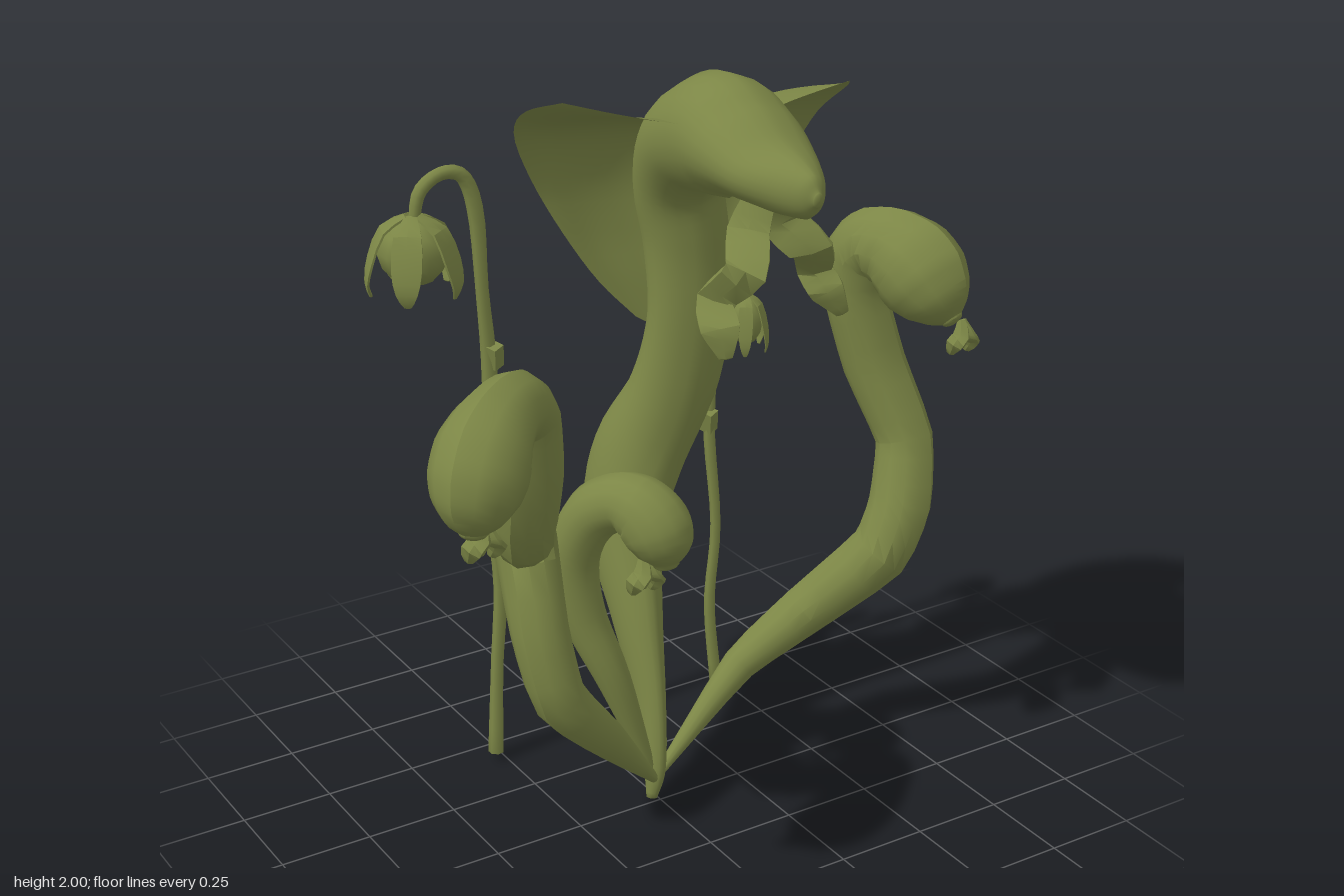
import * as THREE from 'three';
import { toCreasedNormals } from 'three/addons/utils/BufferGeometryUtils.js';

const leafGreen = new THREE.MeshStandardMaterial({ color: 0x7c8646, side: THREE.DoubleSide });
leafGreen.name = 'leafGreen';

function mesh(geometry, name) {
  const m = new THREE.Mesh(geometry, leafGreen);
  m.name = name;
  return m;
}

// Joins a grid of points into a surface; wrap closes each row into a ring.
function skin(rows, wrap, crease) {
  const n = rows[0].length, index = [];
  for (let i = 0; i < rows.length - 1; i++) {
    for (let j = 0; j < (wrap ? n : n - 1); j++) {
      const a = i * n + j, b = i * n + (j + 1) % n;
      index.push(a, b, a + n, b, b + n, a + n);
    }
  }
  const g = new THREE.BufferGeometry();
  g.setAttribute('position', new THREE.Float32BufferAttribute(rows.flat().flatMap(p => p.toArray()), 3));
  g.setIndex(index);
  g.computeVertexNormals();
  return crease ? toCreasedNormals(g, crease) : g;
}

// Sweeps an oval along points [x, y, z, halfWidth, halfDepth], with a rounded end and optional keel.
// A low tension gives angular bends.
function sweep(pts, { side = [1, 0, 0], steps = 40, n = 12, crease = 0, keel = 0, tension = 0.5 } = {}) {
  const curve = list => new THREE.CatmullRomCurve3(list, false, 'catmullrom', tension);
  const path = curve(pts.map(p => new THREE.Vector3(p[0], p[1], p[2])));
  const size = curve(pts.map(p => new THREE.Vector3(p[3], p[4] ?? p[3], 0)));
  const hint = new THREE.Vector3(...side), rows = [];
  const ring = (c, t, w, d) => {
    const up = t.clone().cross(hint).normalize(), across = up.clone().cross(t);
    const row = [];
    for (let j = 0; j < n; j++) {
      const a = j / n * Math.PI * 2 + Math.PI / 2;
      const k = 1 + (j === 0 || j === n / 2 ? keel : 0);
      row.push(c.clone().addScaledVector(across, w * Math.cos(a)).addScaledVector(up, d * k * Math.sin(a)));
    }
    rows.push(row);
  };
  const at = u => [path.getPoint(u), path.getTangent(u), size.getPoint(u)];
  const first = at(0);
  ring(first[0], first[1], 0.0005, 0.0005);
  for (let i = 0; i <= steps; i++) {
    const [c, t, s] = at(i / steps);
    ring(c, t, Math.max(s.x, 0.001), Math.max(s.y, 0.001));
  }
  const [c, t, s] = at(1);
  for (let i = 1; i <= 5; i++) {
    const a = i / 5 * Math.PI / 2, f = Math.max(Math.cos(a), 0.001);
    ring(c.clone().addScaledVector(t, 0.5 * Math.min(s.x, s.y) * Math.sin(a)), t, s.x * f, s.y * f);
  }
  return skin(rows, true, crease);
}

// Twisted two-lobed tongue hanging below a small hood
function smallTongue(x, y, z, s) {
  const g = new THREE.Group();
  g.name = 'smallTongue';
  for (const k of [-1, 1]) {
    g.add(mesh(sweep([[0, 0.07, 0, 0.015, 0.012], [0.012 * k, 0.02, 0.015, 0.032, 0.014],
      [0.035 * k, -0.005, 0.01, 0.032, 0.012], [0.032 * k, -0.04, -0.01, 0.014, 0.01]],
    { steps: 6, n: 6, side: [0.6, 0, 0.8], crease: 0.5 }), 'tongueLobe'));
  }
  g.position.set(x, y, z);
  g.scale.setScalar(s);
  return g;
}

// Nodding flower with a rounded cup and five broad, spreading sepals
function flower(x, y, z, sx, sy) {
  const g = new THREE.Group();
  g.name = 'flower';
  const cup = [[0.001, -0.065], [0.055, -0.06], [0.09, -0.025], [0.105, 0.02], [0.09, 0.068], [0.047, 0.1], [0.001, 0.112]];
  g.add(mesh(new THREE.LatheGeometry(cup.map(p => new THREE.Vector2(...p)), 10), 'flowerCup'));
  for (let i = 0; i < 5; i++) {
    const p = mesh(sweep([[0, 0.11, 0.02, 0.02, 0.006], [0, 0.078, 0.085, 0.045, 0.006], [0, 0.0, 0.122, 0.05, 0.006],
      [0, -0.06, 0.135, 0.035, 0.006], [0, -0.095, 0.125, 0.012, 0.005]], { steps: 8, n: 6, crease: 0.5 }), 'sepal');
    p.rotation.y = (i + 0.5) / 5 * Math.PI * 2;
    g.add(p);
  }
  g.position.set(x, y, z);
  g.scale.set(sx, sy, sx);
  return g;
}

// Slender flower stalk with a small bract
function stalk(pts, bract) {
  const g = new THREE.Group();
  g.name = 'flowerStalk';
  g.add(mesh(sweep(pts, { side: [0, 0, 1], steps: 36, n: 7 }), 'stalk'));
  const b = mesh(new THREE.BoxGeometry(0.035, 0.065, 0.045), 'bract');
  b.position.set(...bract);
  b.rotation.set(0.2, 0.4, 0.15);
  g.add(b);
  return g;
}

// Broad hood: a brim beside the head that curves down behind the stem
function hood() {
  const rows = [
    [[-0.23, 1.968, -0.07], [-0.1, 1.93, -0.03], [0.03, 1.9, 0.02], [0.18, 1.87, 0.04], [0.34, 1.9, 0.02], [0.48, 1.905, -0.02], [0.61, 1.9, -0.07]],
    [[-0.288, 1.94, -0.14], [-0.14, 1.9, -0.15], [0.03, 1.875, -0.14], [0.18, 1.85, -0.14], [0.35, 1.87, -0.15], [0.51, 1.875, -0.16], [0.66, 1.86, -0.15]],
    [[-0.27, 1.86, -0.24], [-0.12, 1.83, -0.275], [0.04, 1.815, -0.27], [0.19, 1.8, -0.25], [0.36, 1.79, -0.28], [0.51, 1.79, -0.295], [0.645, 1.77, -0.255]],
    [[-0.19, 1.71, -0.305], [-0.06, 1.69, -0.325], [0.07, 1.68, -0.32], [0.2, 1.67, -0.285], [0.34, 1.66, -0.325], [0.48, 1.655, -0.345], [0.615, 1.65, -0.315]],
    [[-0.11, 1.56, -0.29], [-0.01, 1.54, -0.315], [0.1, 1.53, -0.31], [0.21, 1.52, -0.285], [0.33, 1.52, -0.315], [0.45, 1.52, -0.33], [0.565, 1.53, -0.295]],
    [[-0.02, 1.42, -0.265], [0.06, 1.4, -0.28], [0.14, 1.4, -0.28], [0.22, 1.4, -0.265], [0.32, 1.4, -0.28], [0.41, 1.4, -0.285], [0.495, 1.41, -0.265]],
    [[0.08, 1.31, -0.25], [0.13, 1.28, -0.25], [0.18, 1.27, -0.25], [0.23, 1.26, -0.24], [0.28, 1.27, -0.25], [0.33, 1.28, -0.25], [0.38, 1.31, -0.25]],
  ];
  const curve = pts => new THREE.CatmullRomCurve3(pts);
  const across = rows.map(r => curve(r.map(p => new THREE.Vector3(...p))).getPoints(24));
  const columns = across[0].map((_, j) => curve(across.map(r => r[j])).getPoints(24));
  return mesh(skin(columns, false), 'hood');
}

export function createModel() {
  const model = new THREE.Group();
  model.name = 'pitcherPlant';

  // Main pitcher: stem bending forward into a rounded head
  model.add(mesh(sweep([
    [-0.015, 0.01, -0.02, 0.015], [0.0, 0.1, -0.03, 0.028, 0.038], [0.015, 0.28, -0.08, 0.038, 0.06],
    [0.03, 0.5, -0.17, 0.065, 0.09], [0.06, 0.72, -0.28, 0.1, 0.13], [0.11, 0.9, -0.29, 0.12, 0.13],
    [0.19, 1.1, -0.24, 0.125, 0.095], [0.225, 1.3, -0.22, 0.12, 0.08], [0.225, 1.5, -0.235, 0.12, 0.09],
    [0.2, 1.66, -0.23, 0.125, 0.1], [0.185, 1.79, -0.145, 0.14, 0.13], [0.18, 1.845, 0.0, 0.15, 0.15],
    [0.175, 1.84, 0.11, 0.148, 0.122], [0.17, 1.815, 0.23, 0.125, 0.083], [0.17, 1.8, 0.33, 0.078, 0.07],
    [0.17, 1.795, 0.39, 0.04, 0.052], [0.17, 1.793, 0.415, 0.015, 0.02],
  ], { steps: 80, n: 24, keel: 0.05 }), 'mainPitcher'));
  model.add(hood());

  // Forked tongue under the main head
  const tongue = [
    [[0.18, 1.76, 0.18, 0.04, 0.012], [0.13, 1.66, 0.19, 0.06, 0.014], [0.07, 1.59, 0.27, 0.06, 0.014],
      [0.02, 1.51, 0.21, 0.05, 0.014], [0.0, 1.46, 0.27, 0.055, 0.012], [0.01, 1.39, 0.28, 0.02, 0.01]],
    [[0.18, 1.76, 0.18, 0.04, 0.012], [0.24, 1.66, 0.17, 0.06, 0.014], [0.3, 1.59, 0.22, 0.06, 0.014],
      [0.35, 1.51, 0.16, 0.05, 0.014], [0.37, 1.46, 0.19, 0.05, 0.012], [0.41, 1.4, 0.2, 0.02, 0.01]],
  ];
  for (const lobe of tongue) {
    model.add(mesh(sweep(lobe, { steps: 15, n: 6, side: [0.8, 0, 0.6], crease: 0.5, tension: 0.3 }), 'mainTongueLobe'));
  }

  // Tall pitcher leaning out to the front
  model.add(mesh(sweep([
    [-0.01, 0.07, -0.01, 0.012], [-0.2, 0.29, 0.06, 0.05], [-0.355, 0.47, 0.085, 0.07], [-0.385, 0.66, 0.04, 0.075],
    [-0.375, 0.88, -0.04, 0.08], [-0.49, 1.0, 0.17, 0.075], [-0.515, 1.2, 0.25, 0.08],
    [-0.54, 1.36, 0.28, 0.082], [-0.585, 1.405, 0.315, 0.085], [-0.64, 1.415, 0.36, 0.088], [-0.69, 1.4, 0.4, 0.1],
    [-0.73, 1.37, 0.432, 0.112], [-0.757, 1.325, 0.455, 0.113], [-0.772, 1.28, 0.467, 0.1], [-0.78, 1.235, 0.472, 0.07],
    [-0.783, 1.21, 0.474, 0.035],
  ], { side: [0.5, 0, 0.85], steps: 45, n: 12, crease: 0.6, keel: 0.05, tension: 0.3 }), 'frontPitcher'));
  model.add(smallTongue(-0.75, 1.16, 0.45, 0.9));

  // Tall pitcher on the left, bowed outward
  model.add(mesh(sweep([
    [0.01, 0.08, -0.02, 0.012], [0.29, 0.31, -0.06, 0.045], [0.5, 0.42, -0.055, 0.065], [0.67, 0.6, 0.05, 0.08],
    [0.74, 0.73, 0.045, 0.085], [0.78, 0.9, 0.0, 0.078], [0.73, 1.1, -0.08, 0.085], [0.685, 1.3, -0.115, 0.085],
    [0.685, 1.41, -0.105, 0.09], [0.7, 1.45, -0.06, 0.095], [0.72, 1.45, 0.0, 0.108], [0.738, 1.425, 0.055, 0.122],
    [0.752, 1.385, 0.1, 0.12], [0.765, 1.345, 0.14, 0.095], [0.775, 1.315, 0.165, 0.06], [0.78, 1.3, 0.178, 0.03],
  ], { side: [0.9, 0, -0.45], steps: 45, n: 12, crease: 0.6, keel: 0.05, tension: 0.25 }), 'leftPitcher'));
  model.add(smallTongue(0.82, 1.23, 0.17, 0.8));

  // Short young pitcher in the middle
  model.add(mesh(sweep([
    [-0.015, 0.08, -0.02, 0.015], [-0.11, 0.38, -0.05, 0.045], [-0.175, 0.58, -0.1, 0.06], [-0.195, 0.75, -0.11, 0.068],
    [-0.17, 0.88, -0.06, 0.072], [-0.13, 0.935, 0.01, 0.075], [-0.1, 0.93, 0.06, 0.087],
    [-0.08, 0.9, 0.095, 0.092], [-0.07, 0.865, 0.112, 0.088], [-0.065, 0.825, 0.122, 0.068], [-0.063, 0.795, 0.128, 0.035],
  ], { side: [0.9, 0, -0.4], steps: 50, n: 14, keel: 0.04 }), 'youngPitcher'));
  model.add(smallTongue(-0.1, 0.74, 0.08, 0.9));

  // Two flower stalks at the back
  model.add(stalk([
    [-0.275, 0.03, -0.425, 0.022], [-0.26, 0.3, -0.43, 0.018], [-0.245, 0.55, -0.425, 0.02], [-0.265, 0.8, -0.43, 0.018],
    [-0.25, 1.15, -0.44, 0.022], [-0.27, 1.4, -0.43, 0.018], [-0.28, 1.6, -0.43, 0.022], [-0.31, 1.7, -0.435, 0.02],
    [-0.37, 1.72, -0.44, 0.018], [-0.43, 1.68, -0.445, 0.018], [-0.45, 1.6, -0.445, 0.015],
  ], [-0.245, 1.21, -0.43]));
  model.add(flower(-0.455, 1.515, -0.44, 0.9, 0.98));
  model.add(stalk([
    [0.455, 0.045, -0.425, 0.018], [0.435, 0.3, -0.43, 0.016], [0.45, 0.55, -0.425, 0.015], [0.435, 0.85, -0.44, 0.017],
    [0.45, 1.1, -0.44, 0.015], [0.465, 1.22, -0.44, 0.015], [0.51, 1.27, -0.44, 0.014],
    [0.545, 1.25, -0.44, 0.014], [0.555, 1.19, -0.44, 0.012],
  ], [0.43, 0.87, -0.44]));
  model.add(flower(0.555, 1.13, -0.44, 0.46, 0.78));

  return model;
}
